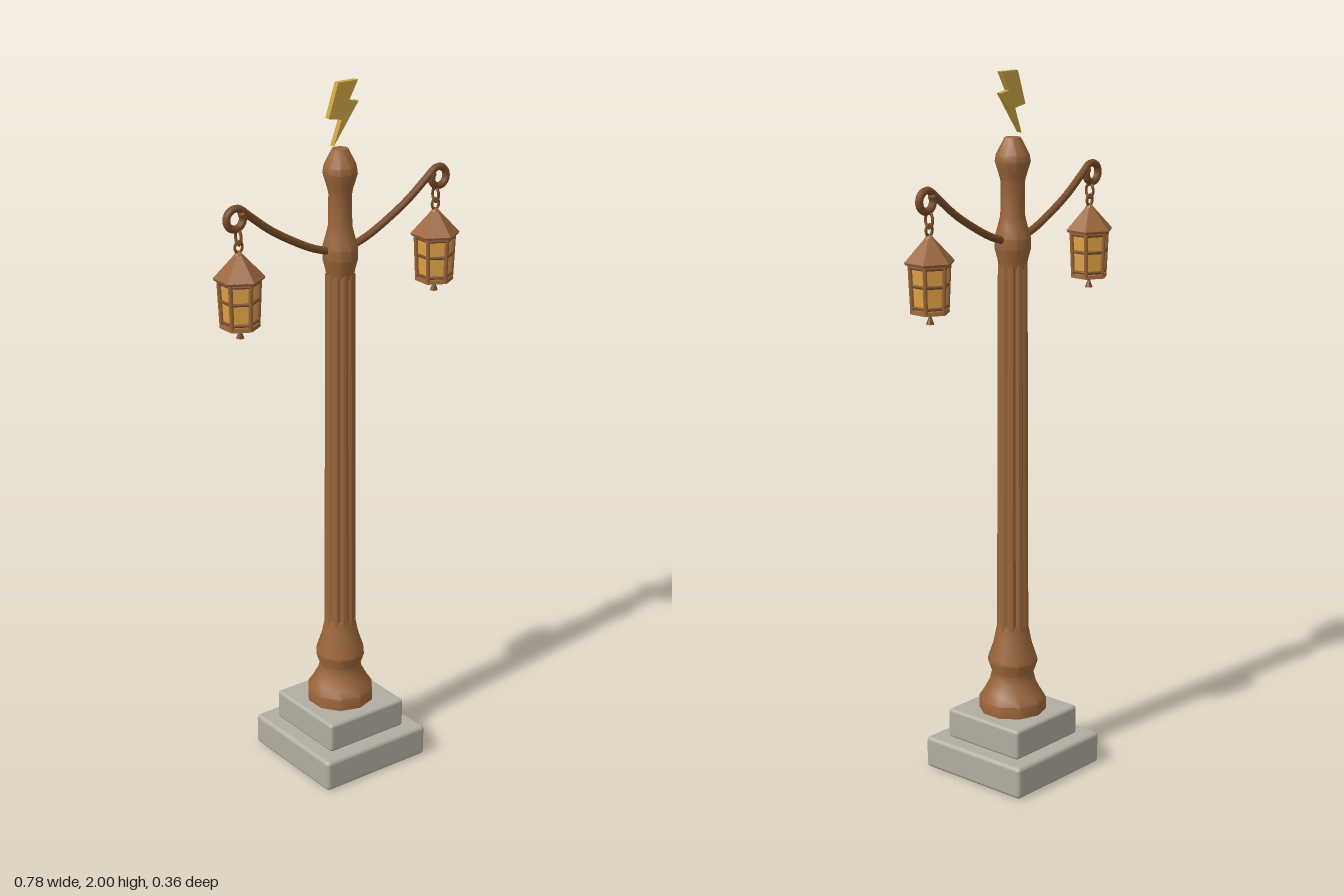
import * as THREE from 'three';
import { toCreasedNormals } from 'three/addons/utils/BufferGeometryUtils.js';
import { RoundedBoxGeometry } from 'three/addons/geometries/RoundedBoxGeometry.js';

const mat = (name, color, flat = false) => {
  const m = new THREE.MeshStandardMaterial({ color, flatShading: flat });
  m.name = name;
  return m;
};
const stone = mat('stone', 0xb2ada1);
const copper = mat('copper', 0x9a6539);
const bronze = mat('darkBronze', 0x7a4c28);
const glass = mat('amberGlass', 0xdfa045);
const gold = mat('gold', 0xcba544);

function add(parent, name, geometry, material, x = 0, y = 0, z = 0) {
  const mesh = new THREE.Mesh(geometry, material);
  mesh.name = name;
  mesh.position.set(x, y, z);
  parent.add(mesh);
  return mesh;
}

// Turned part: smooth around the post, sharp at the profile's corners
function turned(profile, sides = 10) {
  const pts = profile.map(([r, y]) => new THREE.Vector2(r, y));
  return toCreasedNormals(new THREE.LatheGeometry(pts, sides), 0.66);
}

// Long shaft with rounded flutes, tapering slightly
function flutedShaft(y0, y1, r0, r1, flutes) {
  const g = new THREE.CylinderGeometry(r1, r0, y1 - y0, flutes * 6, 1);
  const p = g.attributes.position;
  for (let i = 0; i < p.count; i++) {
    const x = p.getX(i), z = p.getZ(i);
    const groove = Math.max(0, Math.cos(Math.atan2(x, z) * flutes));
    const k = 1 - 0.13 * groove;
    p.setXYZ(i, x * k, p.getY(i) + (y0 + y1) / 2, z * k);
  }
  return toCreasedNormals(g, 0.4);
}

// Bar between two points
function bar(parent, name, a, b, r, material) {
  const d = new THREE.Vector3().subVectors(b, a);
  const m = add(parent, name, new THREE.CylinderGeometry(r, r, d.length(), 6), material);
  m.position.copy(a).addScaledVector(d, 0.5);
  m.quaternion.setFromUnitVectors(new THREE.Vector3(0, 1, 0), d.normalize());
}

const corner = (i, r, y) =>
  new THREE.Vector3(r * Math.sin(i * Math.PI / 3), y, r * Math.cos(i * Math.PI / 3));

// Hanging six-sided lantern; y = 0 is the underside of its floor
function lantern() {
  const g = new THREE.Group();
  g.name = 'lantern';
  const hex = (rt, rb, h) => toCreasedNormals(new THREE.CylinderGeometry(rt, rb, h, 6), 0.1);
  add(g, 'roof', hex(0.012, 0.069, 0.062), copper, 0, 0.168, 0);
  add(g, 'eave', hex(0.069, 0.066, 0.007), copper, 0, 0.134, 0);
  add(g, 'floor', hex(0.053, 0.055, 0.010), copper, 0, 0.005, 0);
  add(g, 'panes', hex(0.049, 0.044, 0.125), glass, 0, 0.07, 0);
  const rAt = y => 0.048 + 0.006 * y / 0.132;
  for (let i = 0; i < 6; i++) {
    bar(g, 'cornerPost', corner(i, rAt(0), 0.005), corner(i, rAt(0.132), 0.132), 0.006, copper);
    for (const y of [0.017, 0.075, 0.124])
      bar(g, 'crossBar', corner(i, rAt(y), y), corner(i + 1, rAt(y), y), 0.0045, bronze);
  }
  add(g, 'finial', turned([[0, -0.032], [0.011, -0.031], [0.004, -0.012], [0.009, 0], [0, 0.001]], 8), bronze);
  add(g, 'roofKnob', turned([[0.013, 0.197], [0.007, 0.206], [0, 0.21]], 8), copper);
  // Two chain links, set crosswise
  const low = add(g, 'lowerLink', new THREE.TorusGeometry(0.012, 0.004, 6, 14), bronze, 0, 0.219, 0);
  low.scale.y = 1.2;
  const high = add(g, 'upperLink', new THREE.TorusGeometry(0.013, 0.004, 6, 14), bronze, 0, 0.246, 0);
  high.rotation.y = Math.PI / 2;
  high.scale.y = 1.5;
  return g;
}

// Sagging arm that ends in a curl
function armGeometry() {
  const pts = [[0.02, 1.54], [0.09, 1.563], [0.16, 1.598], [0.23, 1.64], [0.29, 1.686]]
    .map(([x, y]) => new THREE.Vector3(x, y, 0));
  for (let i = 0; i <= 11; i++) {
    const a = (115 - i * 29) * Math.PI / 180;
    const r = 0.029 - i * 0.0004;
    pts.push(new THREE.Vector3(0.339 + r * Math.cos(a), 1.688 + r * Math.sin(a), 0));
  }
  return new THREE.TubeGeometry(new THREE.CatmullRomCurve3(pts), 70, 0.0105, 8);
}

export function createModel() {
  const model = new THREE.Group();
  model.name = 'streetLamp';

  // Stepped stone base
  add(model, 'lowerPlinth', new RoundedBoxGeometry(0.356, 0.093, 0.356, 3, 0.012), stone, 0, 0.0465, 0);
  add(model, 'upperPlinth', new RoundedBoxGeometry(0.264, 0.088, 0.264, 3, 0.010), stone, 0, 0.134, 0);

  // Post
  add(model, 'postFoot', turned([[0, 0.174], [0.097, 0.174], [0.097, 0.212], [0.082, 0.235], [0.066, 0.265],
    [0.06, 0.29], [0.072, 0.325], [0.07, 0.335], [0.055, 0.38], [0.044, 0.435], [0, 0.436]]), copper);
  add(model, 'shaft', flutedShaft(0.42, 1.475, 0.045, 0.041, 10), copper);
  add(model, 'collar', turned([[0, 1.465], [0.038, 1.465], [0.042, 1.49], [0.05, 1.52], [0.05, 1.55],
    [0.04, 1.585], [0.034, 1.61], [0.033, 1.7], [0.036, 1.715], [0.049, 1.757], [0.046, 1.775],
    [0.022, 1.822], [0, 1.824]]), copper);

  // Arms and lanterns
  for (const side of [1, -1]) {
    const arm = add(model, side > 0 ? 'leftArm' : 'rightArm', armGeometry(), bronze);
    if (side < 0) arm.rotation.y = Math.PI;
    const endBall = add(arm, 'curlEnd', new THREE.SphereGeometry(0.012, 8, 6), bronze);
    endBall.position.set(0.339 + 0.0246 * Math.cos(-204 * Math.PI / 180), 1.688 + 0.0246 * Math.sin(-204 * Math.PI / 180), 0);
    const lamp = lantern();
    lamp.position.set(side * 0.33, 1.393, 0);
    model.add(lamp);
  }

  // Lightning bolt above the cap
  const bolt = new THREE.Shape([[-0.012, 2], [0.053, 2], [0.024, 1.949], [0.055, 1.943], [-0.027, 1.832],
    [-0.001, 1.9], [-0.043, 1.908]].map(([x, y]) => new THREE.Vector2(x, y)));
  add(model, 'lightningBolt', new THREE.ExtrudeGeometry(bolt, { depth: 0.016, bevelEnabled: false }), gold, 0, 0, -0.008);

  return model;
}
